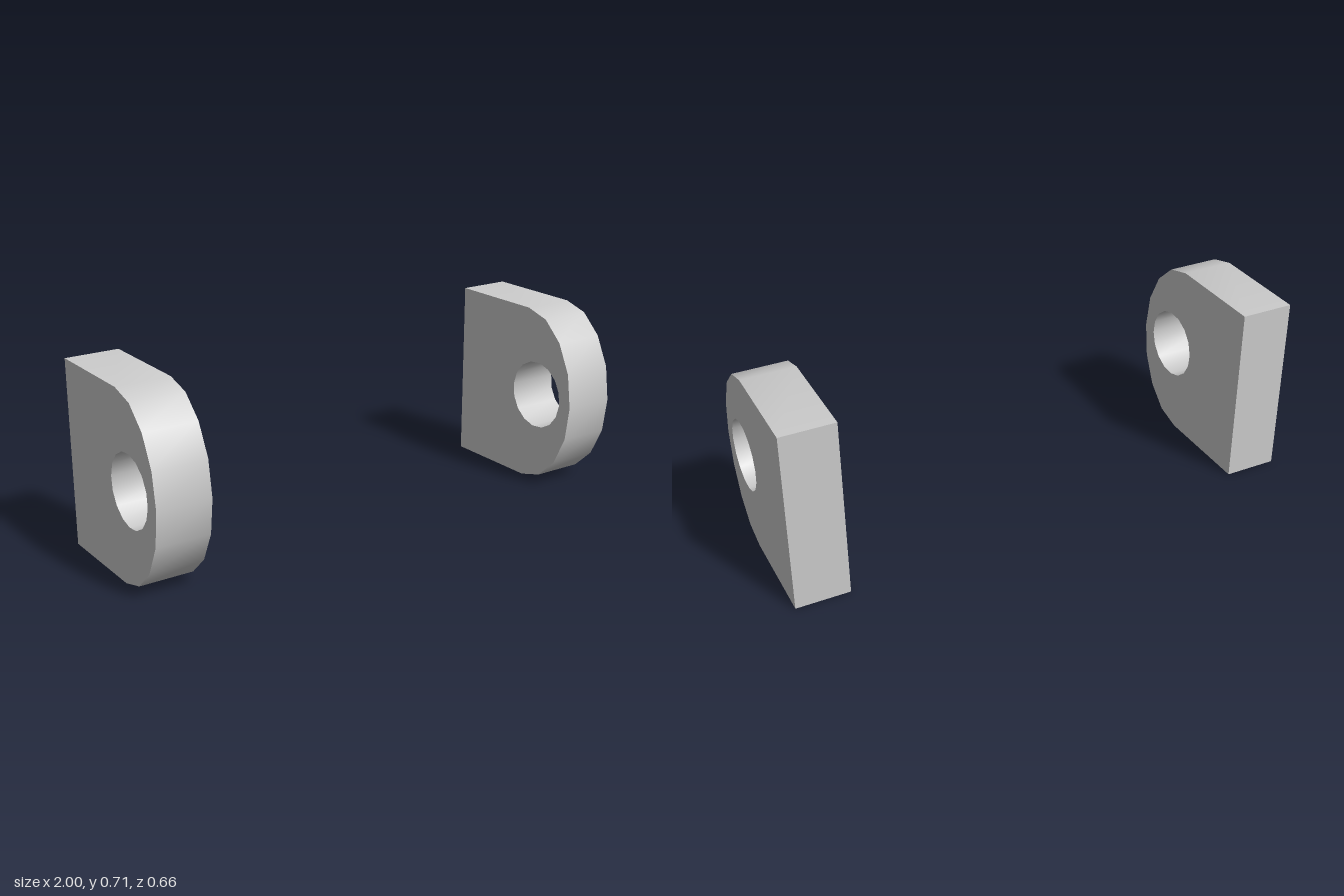
import * as THREE from 'three';
import { toCreasedNormals } from 'three/addons/utils/BufferGeometryUtils.js';

const HEIGHT = 0.706;
const THICKNESS = 0.205;

// Side profile (z, y): flat back, rounded front, round pin hole
function lugShape() {
  const lower = [[-0.328, 0], [0.07, 0], [0.17, 0.028], [0.253, 0.105], [0.309, 0.219]];
  const upper = lower.map(([z, y]) => [z, HEIGHT - y]).reverse();
  const outline = [...lower, [0.328, HEIGHT / 2], ...upper];
  const shape = new THREE.Shape(outline.map(([z, y]) => new THREE.Vector2(z, y)));

  const sides = 16;
  const hole = [];
  for (let i = 0; i < sides; i++) {
    const a = THREE.MathUtils.degToRad(84.5) + (i / sides) * Math.PI * 2;
    hole.push(new THREE.Vector2(0.1335 + 0.135 * Math.cos(a), 0.3605 + 0.135 * Math.sin(a)));
  }
  shape.holes.push(new THREE.Path(hole));
  return shape;
}

export function createModel() {
  const group = new THREE.Group();
  group.name = 'mountingLugs';
  const material = new THREE.MeshStandardMaterial({ color: 0xcccccc });

  // Plate lying in the y-z plane, centred on its thickness
  let geometry = new THREE.ExtrudeGeometry(lugShape(), { depth: THICKNESS, bevelEnabled: false });
  geometry.translate(0, 0, -THICKNESS / 2);
  geometry.rotateY(-Math.PI / 2);
  geometry = toCreasedNormals(geometry, 0.6);

  // One lug at each end
  for (const [name, side] of [['leftLug', 1], ['rightLug', -1]]) {
    const lug = new THREE.Mesh(geometry, material);
    lug.name = name;
    lug.position.x = side * (1 - THICKNESS / 2);
    group.add(lug);
  }
  return group;
}
